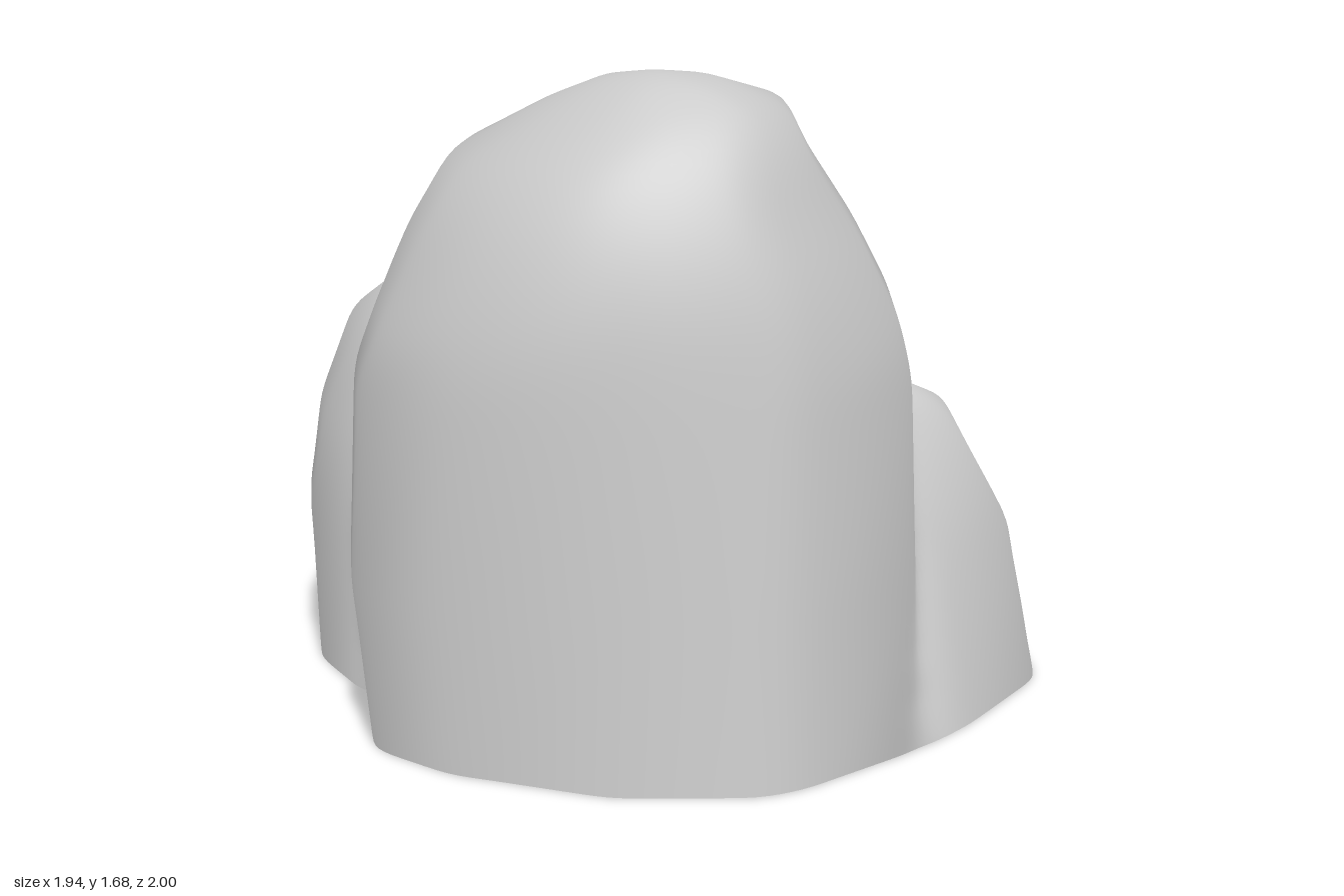
import * as THREE from 'three';

// Closed-top lump: an outline that turns into its crown shape towards the top,
// fitted into a box [xMin, xMax, zMin, zMax] at each height
function makeLump({ outline, crown, rings, peak }) {
  const n = outline.length, pos = [], index = [];
  rings.forEach(([y, a, b, c, d], r) => {
    const t = r / (rings.length - 1);
    const shape = outline.map(([x, z], i) => [
      THREE.MathUtils.lerp(x, crown[i][0], t), THREE.MathUtils.lerp(z, crown[i][1], t)]);
    const xs = shape.map(p => p[0]), zs = shape.map(p => p[1]);
    const x0 = Math.min(...xs), x1 = Math.max(...xs);
    const z0 = Math.min(...zs), z1 = Math.max(...zs);
    for (const [x, z] of shape) {
      pos.push(a + (x - x0) / (x1 - x0) * (b - a), y, c + (z - z0) / (z1 - z0) * (d - c));
    }
  });
  pos.push(...peak);
  const top = rings.length * n;
  for (let r = 0; r < rings.length; r++) {
    for (let i = 0; i < n; i++) {
      const j = (i + 1) % n, p = r * n + i, q = r * n + j;
      if (r === rings.length - 1) index.push(p, top, q);
      else index.push(p, p + n, q, q, p + n, q + n);
    }
  }
  const g = new THREE.BufferGeometry();
  g.setAttribute('position', new THREE.Float32BufferAttribute(pos, 3));
  g.setIndex(index);
  g.computeVertexNormals();
  return new THREE.Mesh(g, new THREE.MeshStandardMaterial({ side: THREE.DoubleSide }));
}

const tallBoulder = {
  outline: [[-0.02, 0.98], [-0.15, 1], [-0.5, 0.88], [-0.84, 0.58], [-0.98, 0.33], [-0.9, 0.02],
    [-0.72, -0.2], [-0.5, -0.38], [-0.1, -0.3], [0.3, -0.08], [0.5, 0.33], [0.36, 0.82]],
  crown: [[0, 0.95], [-0.15, 1], [-0.55, 0.98], [-0.84, 0.85], [-0.98, 0.33], [-0.95, -0.02],
    [-0.84, -0.24], [-0.55, -0.38], [-0.1, -0.36], [0.35, -0.15], [0.5, 0.2], [0.3, 0.66]],
  rings: [
    [-0.1, -0.94, 0.46, -0.33, 1.015],
    [0.42, -0.985, 0.5, -0.38, 0.97],
    [0.93, -0.955, 0.51, -0.36, 0.93],
    [1.08, -0.89, 0.48, -0.33, 0.915],
    [1.28, -0.8, 0.37, -0.26, 0.89],
    [1.47, -0.68, 0.245, -0.17, 0.79],
    [1.605, -0.46, 0.155, 0.06, 0.72],
    [1.67, -0.34, -0.05, 0.25, 0.57],
  ],
  peak: [-0.2, 1.685, 0.35],
};

const backBoulder = {
  outline: [[-0.6, 0.1], [-0.87, -0.08], [-0.91, -0.42], [-0.84, -0.66], [-0.73, -0.84], [-0.3, -0.99],
    [-0.06, -1], [0.18, -0.92], [0.5, -0.66], [0.5, -0.3], [0.2, 0.1]],
  crown: [[-0.6, 0.1], [-0.88, -0.1], [-0.91, -0.42], [-0.87, -0.75], [-0.74, -0.92], [-0.3, -0.99],
    [-0.06, -1], [0.25, -0.98], [0.5, -0.75], [0.5, -0.3], [0.2, 0.1]],
  rings: [
    [-0.1, -0.9, 0.47, -0.96, 0.1],
    [0.44, -0.915, 0.5, -1.01, 0.1],
    [0.7, -0.88, 0.46, -0.915, 0.1],
    [0.94, -0.79, 0.35, -0.81, 0.1],
    [1.075, -0.65, 0.17, -0.61, 0.1],
  ],
  peak: [-0.25, 1.09, -0.3],
};

const sideOutline = [[0, -0.4], [0.5, -0.62], [0.68, -0.58], [0.85, -0.38], [0.97, -0.03], [0.86, 0.42],
  [0.52, 0.72], [0.37, 0.82], [0, 0.7]];
const sideBoulder = {
  outline: sideOutline,
  crown: sideOutline,
  rings: [
    [-0.05, 0, 0.985, -0.61, 0.82],
    [0.42, 0, 0.92, -0.59, 0.68],
    [0.6, 0, 0.835, -0.5, 0.52],
    [0.72, 0, 0.73, -0.18, 0.4],
    [0.78, 0, 0.61, 0.02, 0.3],
  ],
  peak: [0.45, 0.81, 0.16],
};

// Averages a grid of xyz triples with their neighbours; the base row moves only along itself
function soften(values, columns, rows, passes) {
  let current = values;
  for (let pass = 0; pass < passes; pass++) {
    const next = current.slice();
    for (let r = 0; r < rows; r++) {
      for (let c = 0; c < columns; c++) {
        const at = r * columns + c;
        const near = [at, at, r * columns + (c + 1) % columns, r * columns + (c + columns - 1) % columns];
        if (r > 0) near.push(at - columns, at + columns);
        for (let k = 0; k < 3; k++) {
          next[at * 3 + k] = near.reduce((sum, i) => sum + current[i * 3 + k], 0) / near.length;
        }
      }
    }
    current = next;
  }
  return current;
}

// One hollow shell around all lumps: the farthest surface along rays from the base centre
function makeShell(lumps, columns, rows) {
  const origin = new THREE.Vector3(-0.1, 0.005, 0);
  const ray = new THREE.Raycaster();
  const dir = new THREE.Vector3();
  const pos = [], nor = [], index = [];
  for (let r = 0; r <= rows; r++) {
    const lift = r / rows * (Math.PI / 2 - 0.002);
    for (let c = 0; c < columns; c++) {
      const turn = c / columns * Math.PI * 2;
      dir.set(Math.cos(lift) * Math.sin(turn), Math.sin(lift), Math.cos(lift) * Math.cos(turn));
      ray.set(origin, dir);
      const hit = ray.intersectObjects(lumps, false).pop();
      const normal = hit.normal.clone().normalize();
      if (normal.dot(dir) < 0) normal.negate();
      pos.push(hit.point.x, hit.point.y, hit.point.z);
      nor.push(normal.x, normal.y, normal.z);
      if (r < rows) {
        const a = r * columns + c, b = r * columns + (c + 1) % columns;
        index.push(a, b, a + columns, b, b + columns, a + columns);
      }
    }
  }
  const g = new THREE.BufferGeometry();
  g.setAttribute('position', new THREE.Float32BufferAttribute(soften(pos, columns, rows, 4), 3));
  g.setAttribute('normal', new THREE.Float32BufferAttribute(soften(nor, columns, rows, 8), 3));
  g.normalizeNormals();
  g.setIndex(index);
  return g;
}

export function createModel() {
  const group = new THREE.Group();
  group.name = 'rock';
  const lumps = [tallBoulder, backBoulder, sideBoulder].map(makeLump);
  const shell = new THREE.Mesh(
    makeShell(lumps, 200, 90),
    new THREE.MeshStandardMaterial({ color: 0xcccccc, side: THREE.DoubleSide }),
  );
  shell.name = 'boulderCluster';
  group.add(shell);
  return group;
}
